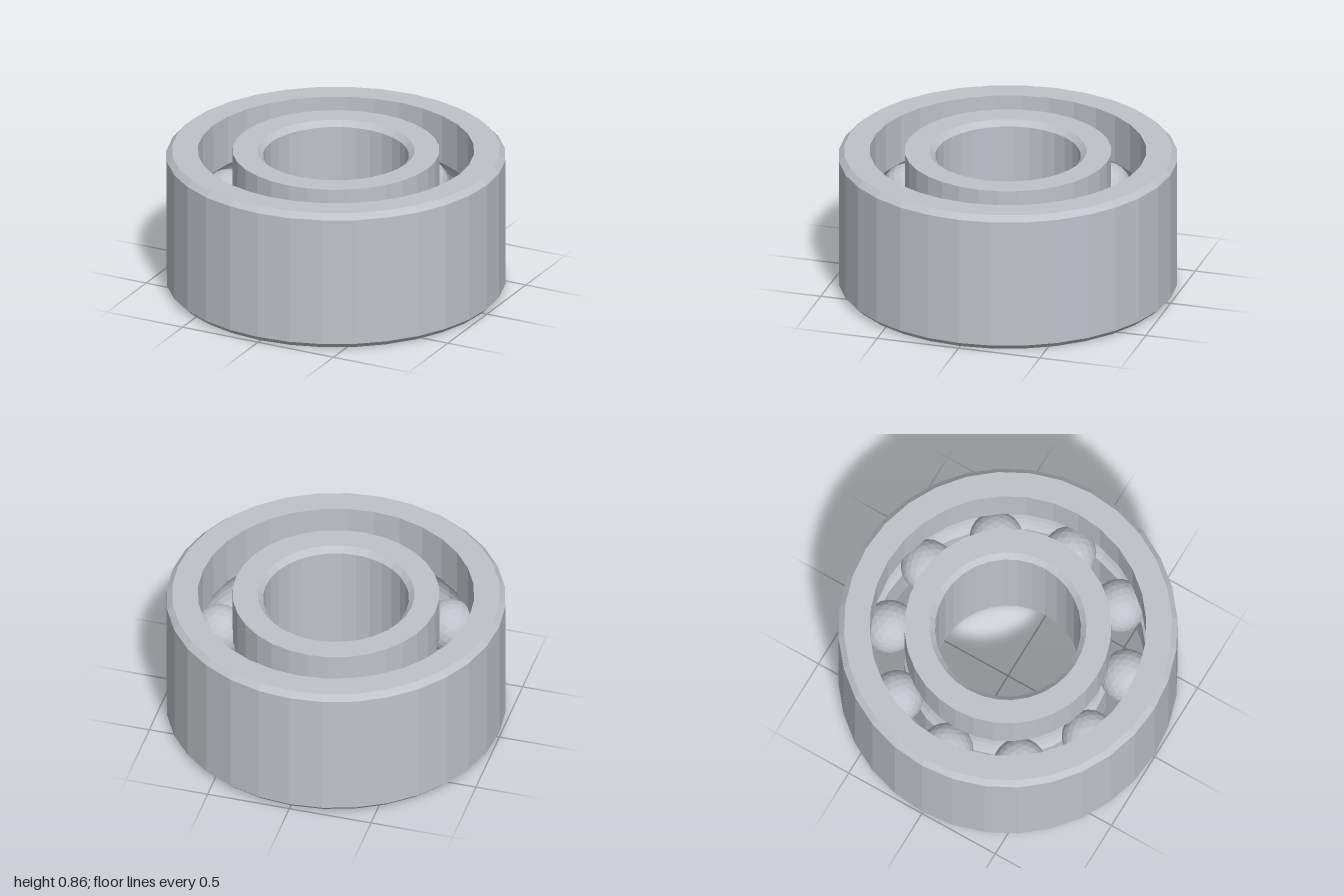
import * as THREE from 'three';

const HEIGHT = 0.855, MID = HEIGHT / 2, CHAMFER = 0.033;
const SIDES = 32, BALLS = 10;
const PITCH = 0.714, BALL_R = 0.158, GROOVE_R = 0.161;

// Points of the ball groove cut into a wall at radius r, from one y sign to the other
function groove(wallR, fromSign) {
  const dr = wallR - PITCH;
  const half = Math.acos(Math.abs(dr) / GROOVE_R);
  const pts = [];
  for (let i = 0; i <= 8; i++) {
    const a = fromSign * half * (1 - i / 4);
    pts.push([PITCH + Math.sign(dr) * GROOVE_R * Math.cos(a), MID + GROOVE_R * Math.sin(a)]);
  }
  return pts;
}

// Closed profile turned into a ring; points run up the outside and down the inside
function ring(name, profile, material) {
  const pts = [...profile, profile[0]].map(([r, y]) => new THREE.Vector2(r, y));
  const mesh = new THREE.Mesh(new THREE.LatheGeometry(pts, SIDES).toNonIndexed(), material);
  mesh.geometry.computeVertexNormals();
  mesh.name = name;
  return mesh;
}

export function createModel() {
  const steel = new THREE.MeshStandardMaterial({ color: 0xbfc3c9, flatShading: true });
  steel.name = 'steel';
  const model = new THREE.Group();
  model.name = 'ballBearing';

  // Outer race: chamfered outside, ball groove inside
  model.add(ring('outerRace', [
    [1 - CHAMFER, 0], [1, CHAMFER], [1, HEIGHT - CHAMFER], [1 - CHAMFER, HEIGHT],
    [0.815, HEIGHT], ...groove(0.815, 1), [0.815, 0],
  ], steel));

  // Inner race: ball groove outside, chamfered bore
  model.add(ring('innerRace', [
    [0.61, 0], ...groove(0.61, -1), [0.61, HEIGHT],
    [0.43 + CHAMFER, HEIGHT], [0.43, HEIGHT - CHAMFER], [0.43, CHAMFER], [0.43 + CHAMFER, 0],
  ], steel));

  // Balls between the races
  const balls = new THREE.Group();
  balls.name = 'balls';
  const ballGeometry = new THREE.IcosahedronGeometry(BALL_R, 3);
  for (let i = 0; i < BALLS; i++) {
    const a = (i / BALLS) * Math.PI * 2;
    const ball = new THREE.Mesh(ballGeometry, steel);
    ball.name = 'ball' + (i + 1);
    ball.position.set(PITCH * Math.cos(a), MID, PITCH * Math.sin(a));
    ball.rotation.y = -a;
    balls.add(ball);
  }
  model.add(balls);
  return model;
}
